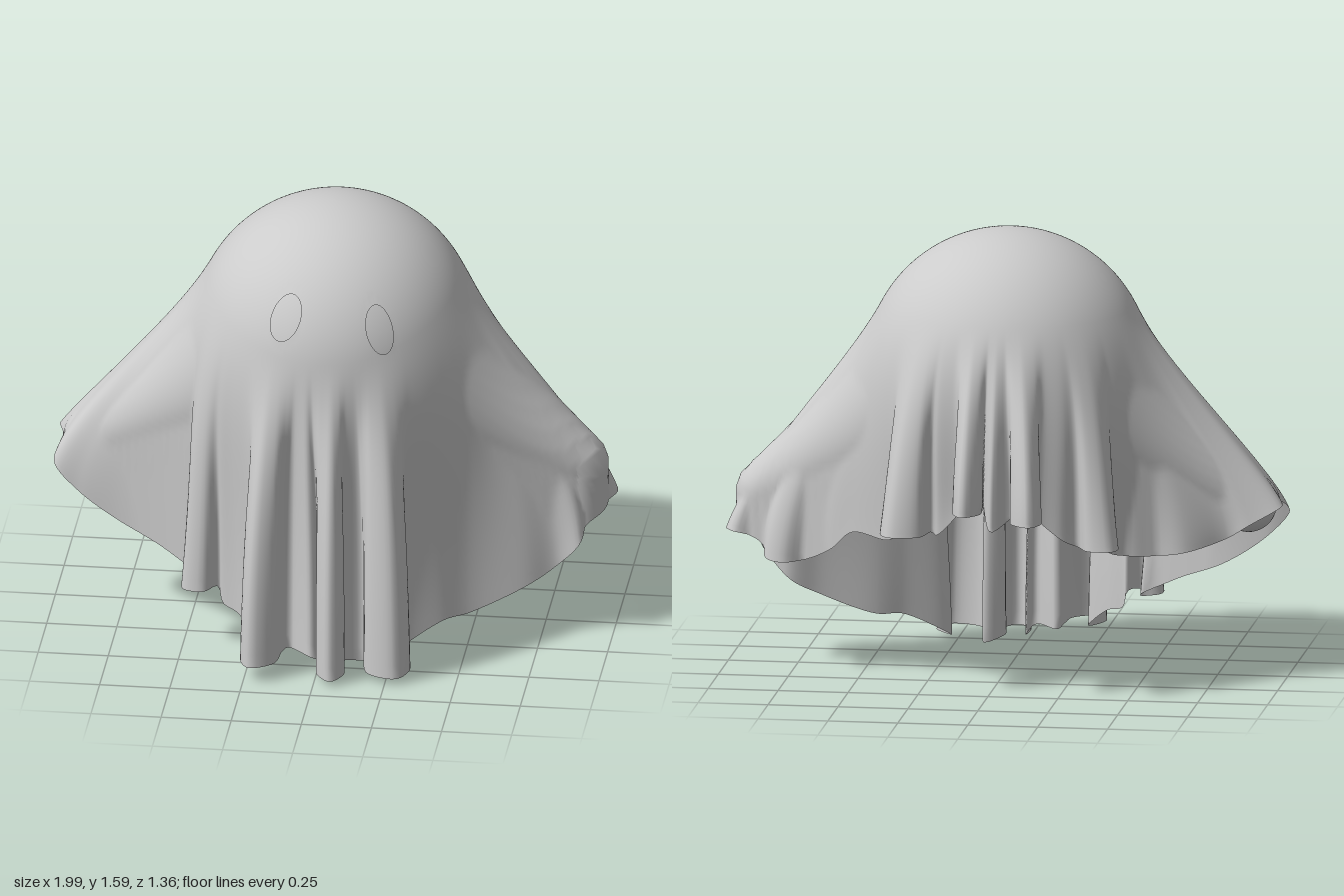
import * as THREE from 'three';

const COLS = 440, DOME_ROWS = 34, DRAPE_ROWS = 38;
const RADIUS = 0.51, CENTRE_Y = 1.08;

// Body under the sheet: a round head with an arm tapering to a ball on each side
const HEAD = new THREE.Vector3(0, 1.08, 0), HEAD_R = 0.485;
const HAND = new THREE.Vector3(0.86, 0.62, 0), HAND_R = 0.1, SAG = 0.035;
const ARM = HAND.clone().sub(HEAD), ARM_L = ARM.length();
ARM.normalize();
const armRadius = (t) => THREE.MathUtils.lerp(HEAD_R, HAND_R, t) - SAG * Math.sin(Math.PI * t);
const armSlope = (t) => (HEAD_R - HAND_R + SAG * Math.PI * Math.cos(Math.PI * t)) / ARM_L;

// Eye holes: centre, half width, half height, tilt
const EYES = [
  { x: -0.125, y: 1.315, w: 0.05, h: 0.08, tilt: -0.4 },
  { x: 0.207, y: 1.28, w: 0.042, h: 0.085, tilt: 0.32 },
];

const point = (x, y, z) => [new THREE.Vector3(x, y, z)];

// A pleat whose rounded end sits at (x, z), pinched where it meets the cloth
function pleat(x, y, z, length, width) {
  const r = Math.hypot(x, z), dx = x / r, dz = z / r;
  const at = (back, side) => new THREE.Vector3(
    x - dx * back * length - dz * side * width, y,
    z - dz * back * length + dx * side * width);
  return [at(1, -0.36), at(0.4, -0.5), at(0, 0), at(0.4, 0.5), at(1, 0.36)];
}

// Lower edge of the sheet, from the left arm round the front, right arm and back
function hemCurve() {
  return new THREE.CatmullRomCurve3([
    // left arm, front edge
    point(1.0, 0.49, -0.05), point(0.91, 0.44, 0.06), point(0.89, 0.37, 0.15), point(0.8, 0.27, 0.14),
    point(0.7, 0.21, 0.19), point(0.51, 0.13, 0.26), point(0.42, 0.12, 0.32),
    // front pleats
    pleat(0.29, 0.025, 0.63, 0.19, 0.16), point(0.15, 0.0, 0.43),
    pleat(0.06, 0.02, 0.67, 0.18, 0.1), point(-0.02, 0.05, 0.54), point(-0.11, 0.05, 0.46),
    pleat(-0.23, 0.06, 0.675, 0.18, 0.13), point(-0.3, 0.14, 0.39), point(-0.36, 0.16, 0.35),
    pleat(-0.5, 0.22, 0.38, 0.12, 0.12),
    // right arm
    point(-0.58, 0.3, 0.21), point(-0.75, 0.37, 0.16), point(-0.9, 0.47, 0.14), point(-0.99, 0.57, 0.12),
    point(-0.97, 0.63, 0.02), point(-0.99, 0.63, -0.09), point(-0.88, 0.57, -0.15),
    point(-0.8, 0.52, -0.14), point(-0.65, 0.48, -0.23), point(-0.52, 0.47, -0.23), point(-0.41, 0.49, -0.31),
    // back pleats
    pleat(-0.44, 0.53, -0.48, 0.14, 0.13), point(-0.26, 0.56, -0.45),
    pleat(-0.17, 0.65, -0.68, 0.18, 0.11), point(-0.02, 0.61, -0.58),
    pleat(0.07, 0.68, -0.68, 0.18, 0.1), point(0.19, 0.57, -0.47),
    pleat(0.35, 0.58, -0.58, 0.18, 0.17), point(0.38, 0.52, -0.33),
    // left arm, back edge
    point(0.52, 0.53, -0.26), point(0.6, 0.46, -0.22), point(0.69, 0.41, -0.16), point(0.78, 0.4, -0.2),
    point(0.84, 0.41, -0.18), point(0.87, 0.46, -0.09), point(0.97, 0.49, -0.11),
  ].flat(), true, 'centripetal');
}

// Heading of each rib on the head: the hem's heading, kept increasing and smoothed
function ribHeadings(hem) {
  const raw = [];
  let previous = Math.atan2(hem[0].z, hem[0].x), highest = previous;
  for (const p of hem) {
    let a = Math.atan2(p.z, p.x);
    a += Math.round((previous - a) / (2 * Math.PI)) * 2 * Math.PI;
    previous = a;
    highest = Math.max(highest, a);
    raw.push(Math.min(highest, raw.length ? raw[0] + 2 * Math.PI : highest));
  }
  const n = raw.length, span = 18;
  return raw.map((_, i) => {
    let sum = 0;
    for (let k = -span; k <= span; k++) {
      const j = i + k;
      sum += raw[(j + n) % n] + Math.floor(j / n) * 2 * Math.PI;
    }
    return sum / (2 * span + 1);
  });
}

// Hem with its small waves averaged out
function calmHem(hem) {
  const n = hem.length, span = 14;
  return hem.map((_, i) => {
    const sum = new THREE.Vector3();
    for (let k = -span; k <= span; k++) sum.add(hem[(i + k + n) % n]);
    return sum.divideScalar(2 * span + 1);
  });
}

// Keeps a point of the sheet outside the body; below the arms it hangs straight down
function restOnBody(p) {
  const q = new THREE.Vector3(Math.abs(p.x), p.y, p.z);
  const axisY = THREE.MathUtils.lerp(HEAD.y, HAND.y, Math.min(1, q.x / HAND.x));
  const keep = q.y < axisY ? 1 - THREE.MathUtils.smoothstep(q.x, 0.3, 0.5) : 1;
  q.y = axisY + (q.y - axisY) * keep;
  const centre = new THREE.Vector3(), nearest = new THREE.Vector3();
  let depth = 0, reach = 0;
  for (let i = 0; i <= 24; i++) {
    centre.lerpVectors(HEAD, HAND, i / 24);
    const r = armRadius(i / 24) + 0.012, d = r - q.distanceTo(centre);
    if (d > depth) {
      depth = d;
      reach = r;
      nearest.copy(centre);
    }
  }
  if (depth === 0) return;
  const moved = q.clone().sub(nearest).setLength(reach).add(nearest);
  p.x = Math.sign(p.x) * moved.x;
  p.y += (moved.y - q.y) * keep;
  p.z = moved.z;
}

// One rib: over the round head, then hanging down to the hem
function rib(hemPoint, calmPoint, heading) {
  const c = Math.cos(heading), s = Math.sin(heading);
  const yStart = 1.17 + 0.15 * (1 - Math.max(0, s) ** 2);
  const end = Math.acos((yStart - CENTRE_Y) / RADIUS);
  const points = [];
  for (let i = 0; i <= DOME_ROWS; i++) {
    const a = end * i / DOME_ROWS, r = RADIUS * Math.sin(a);
    points.push(new THREE.Vector3(r * c, CENTRE_Y + RADIUS * Math.cos(a), r * s));
  }
  const start = points[DOME_ROWS], drop = yStart - hemPoint.y, side = c * c;
  const tangent = new THREE.Vector3(c * Math.cos(end), -Math.sin(end), s * Math.cos(end));
  const shoulder = hemPoint.clone().lerp(calmPoint, 0.9 * side).multiplyScalar(0.985);
  shoulder.y = THREE.MathUtils.lerp(hemPoint.y + (0.42 + 0.14 * s) * drop, 0.74, side);
  const drape = new THREE.CubicBezierCurve3(
    start, start.clone().addScaledVector(tangent, (0.35 - 0.1 * Math.max(0, s)) * drop), shoulder, hemPoint);
  for (let i = 1; i <= DRAPE_ROWS; i++) points.push(drape.getPoint(i / DRAPE_ROWS));
  points.forEach(restOnBody);
  return points;
}

// Pulls nearby vertices onto the eye rim; returns true on or inside the rim
function fitToEye(p, eye) {
  if (p.z < 0.2) return false;
  const c = Math.cos(eye.tilt), s = Math.sin(eye.tilt);
  const dx = p.x - eye.x, dy = p.y - eye.y;
  const q = new THREE.Vector2((dx * c + dy * s) / eye.w, (-dx * s + dy * c) / eye.h);
  const d = q.length();
  if (d > 1.25) return false;
  if (d < 0.75) return true;
  q.divideScalar(d);
  p.x = eye.x + q.x * eye.w * c - q.y * eye.h * s;
  p.y = eye.y + q.x * eye.w * s + q.y * eye.h * c;
  p.z = Math.sqrt(RADIUS ** 2 - p.x ** 2 - (p.y - CENTRE_Y) ** 2);
  return true;
}

function sheetGeometry() {
  const hem = hemCurve().getSpacedPoints(COLS).slice(0, COLS);
  hem.forEach((p) => { p.y = Math.max(0, p.y); });
  const calm = calmHem(hem), headings = ribHeadings(hem);
  const rows = DOME_ROWS + DRAPE_ROWS + 1;
  const positions = [], inEye = [], indices = [];
  hem.forEach((h, i) => {
    for (const p of rib(h, calm[i], headings[i])) {
      inEye.push(EYES.findIndex((eye) => fitToEye(p, eye)));
      positions.push(p.x, p.y, p.z);
    }
  });
  // Skin between neighbouring ribs, leaving the eyes open
  const face = (a, b, c) => {
    const open = inEye[a] >= 0 && inEye[a] === inEye[b] && inEye[a] === inEye[c];
    if (!open) indices.push(a, b, c);
  };
  for (let j = 0; j < COLS; j++) {
    for (let i = 0; i < rows - 1; i++) {
      const a = j * rows + i, b = ((j + 1) % COLS) * rows + i;
      if (i > 0) face(a, b, a + 1);
      face(b, b + 1, a + 1);
    }
  }
  const geometry = new THREE.BufferGeometry();
  geometry.setAttribute('position', new THREE.Float32BufferAttribute(positions, 3));
  geometry.setIndex(indices);
  geometry.computeVertexNormals();
  return geometry;
}

// Outline of one arm, from the head to the rounded hand
function armProfile() {
  const at = (t, sin) => new THREE.Vector2(
    armRadius(t) * Math.sqrt(Math.max(0, 1 - sin * sin)), t * ARM_L + armRadius(t) * sin);
  const points = [];
  for (let i = 0; i <= 16; i++) points.push(at(i / 16, armSlope(i / 16)));
  const from = Math.asin(armSlope(1));
  for (let i = 1; i <= 8; i++) points.push(at(1, Math.sin(THREE.MathUtils.lerp(from, Math.PI / 2, i / 8))));
  return points;
}

export function createModel() {
  const group = new THREE.Group();
  group.name = 'sheetGhost';
  const material = new THREE.MeshStandardMaterial({ color: 0xcccccc, side: THREE.DoubleSide });
  const add = (name, geometry) => {
    const mesh = new THREE.Mesh(geometry, material);
    mesh.name = name;
    group.add(mesh);
    return mesh;
  };
  add('drapedSheet', sheetGeometry());
  add('head', new THREE.SphereGeometry(HEAD_R, 48, 32)).position.copy(HEAD);
  for (const [name, sign] of [['leftArm', 1], ['rightArm', -1]]) {
    const arm = add(name, new THREE.LatheGeometry(armProfile(), 40));
    arm.position.copy(HEAD);
    arm.quaternion.setFromUnitVectors(new THREE.Vector3(0, 1, 0), new THREE.Vector3(sign * ARM.x, ARM.y, 0));
  }
  return group;
}
